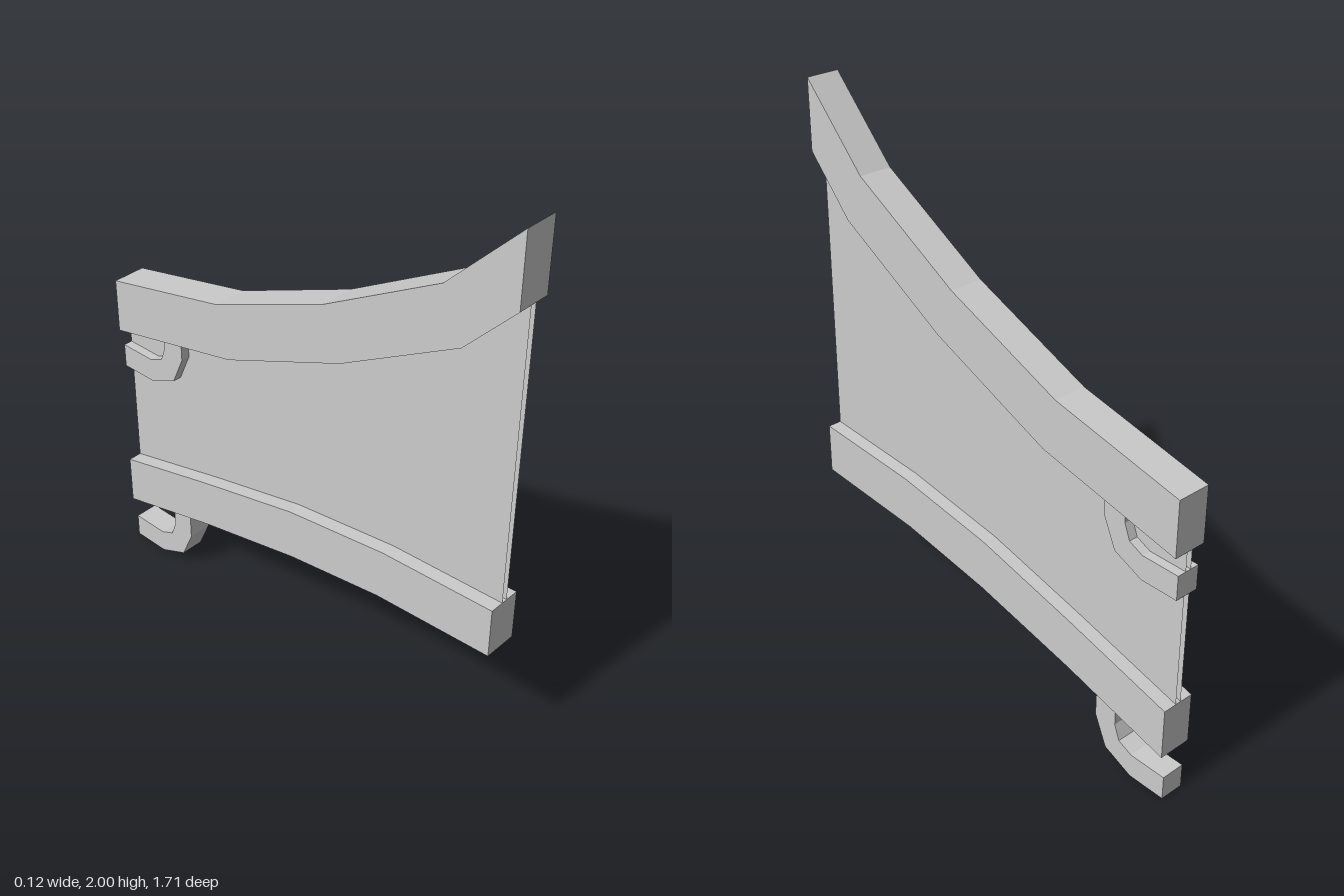
import * as THREE from 'three';

const grey = new THREE.MeshStandardMaterial({ color: 0xcccccc, flatShading: true });
const sheet = new THREE.MeshStandardMaterial({ color: 0xcccccc, flatShading: true, side: THREE.DoubleSide });

// Edge curves as [z, y], running from front to back
const topRailUpper = [[0.855, 2], [0.59, 1.73], [0.14, 1.475], [-0.34, 1.275], [-0.855, 1.16]];
const topRailLower = [[0.855, 1.745], [0.67, 1.55], [0.21, 1.29], [-0.29, 1.08], [-0.855, 0.955]];
const bottomRailUpper = [[0.855, 0.67], [0.41, 0.645], [-0.01, 0.585], [-0.43, 0.485], [-0.855, 0.375]];
const bottomRailLower = [[0.855, 0.48], [0.39, 0.45], [0, 0.39], [-0.43, 0.295], [-0.855, 0.185]];

// Closed side profile between an upper and a lower edge
function profile(upper, lower) {
  const points = [...upper, ...[...lower].reverse()];
  return new THREE.Shape(points.map(([z, y]) => new THREE.Vector2(z, y)));
}

// Solid slab of a side profile, centred on x = 0
function slab(name, shape, width) {
  const geometry = new THREE.ExtrudeGeometry(shape, { depth: width, bevelEnabled: false });
  geometry.translate(0, 0, -width / 2).rotateY(-Math.PI / 2);
  const mesh = new THREE.Mesh(geometry, grey);
  mesh.name = name;
  return mesh;
}

// J-shaped hook that hangs under a rail and points backwards; base is its lowest y
function hook(name, base, frontTop, backTop) {
  const outer = [[-0.545, frontTop], [-0.545, base + 0.16], [-0.595, base + 0.05], [-0.71, base], [-0.855, base]];
  const inner = [[-0.633, backTop], [-0.633, base + 0.17], [-0.655, base + 0.115], [-0.71, base + 0.09], [-0.855, base + 0.09]];
  return slab(name, profile(outer, inner), 0.09);
}

export function createModel() {
  const group = new THREE.Group();
  group.name = 'curvedBarrierSection';

  // Rails
  group.add(slab('topRail', profile(topRailUpper, topRailLower), 0.125));
  group.add(slab('bottomRail', profile(bottomRailUpper, bottomRailLower), 0.125));

  // Two open sheets filling the space between the rails
  for (const side of [-1, 1]) {
    const geometry = new THREE.ShapeGeometry(profile(topRailLower, bottomRailUpper));
    geometry.rotateY(side * Math.PI / 2);
    if (side > 0) geometry.scale(1, 1, -1);
    // Put the front of both sheets on the outside
    if (side > 0) {
      const index = geometry.index.array;
      for (let i = 0; i < index.length; i += 3) [index[i], index[i + 1]] = [index[i + 1], index[i]];
    }
    geometry.translate(side * 0.011, 0, 0);
    geometry.computeVertexNormals();
    // The left sheet must face +x, the right sheet -x
    if (geometry.attributes.normal.getX(0) * side < 0) {
      const index = geometry.index.array;
      for (let i = 0; i < index.length; i += 3) [index[i], index[i + 1]] = [index[i + 1], index[i]];
      geometry.computeVertexNormals();
    }
    const panel = new THREE.Mesh(geometry, sheet);
    panel.name = side > 0 ? 'leftPanel' : 'rightPanel';
    group.add(panel);
  }

  // Hooks below each rail at the back
  group.add(hook('upperHook', 0.795, 1.025, 1.007));
  group.add(hook('lowerHook', 0, 0.265, 0.243));

  return group;
}
